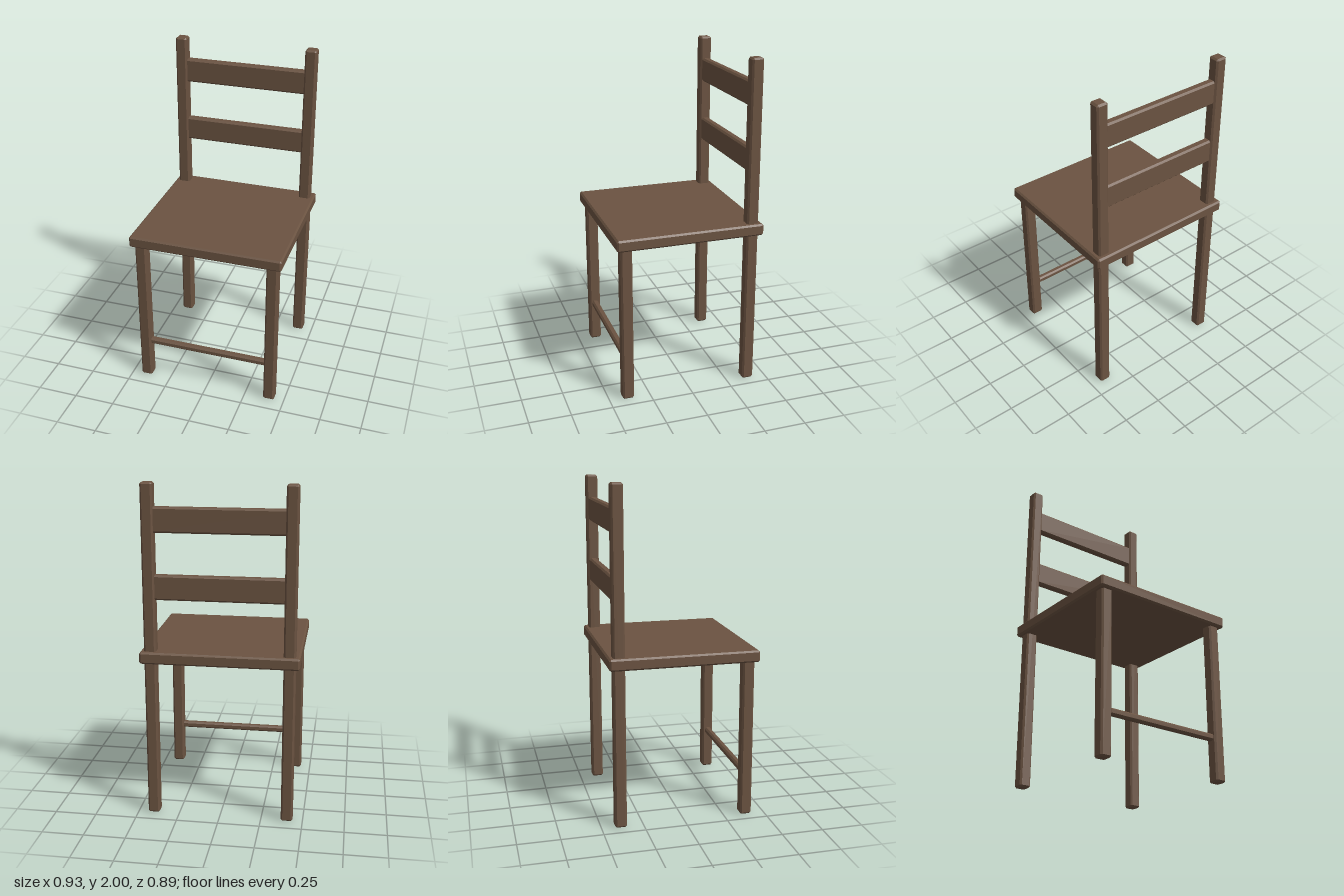
import * as THREE from 'three';
import { ConvexGeometry } from 'three/addons/geometries/ConvexGeometry.js';

const wood = new THREE.MeshStandardMaterial({ color: 0x6b5341 });

// Box between two corners with every edge chamfered by c
function bevelledBox(name, min, max, c = 0.01) {
  const half = max.map((v, i) => (v - min[i]) / 2);
  const points = [];
  for (const sx of [-1, 1]) for (const sy of [-1, 1]) for (const sz of [-1, 1]) {
    const sign = [sx, sy, sz];
    for (let face = 0; face < 3; face++) {
      points.push(new THREE.Vector3(...half.map((h, i) => sign[i] * (i === face ? h : h - c))));
    }
  }
  const mesh = new THREE.Mesh(new ConvexGeometry(points), wood);
  mesh.name = name;
  mesh.position.set(...max.map((v, i) => (v + min[i]) / 2));
  return mesh;
}

export function createModel() {
  const chair = new THREE.Group();
  chair.name = 'chair';

  // Seat board
  chair.add(bevelledBox('seat', [-0.465, 0.96, -0.445], [0.465, 1.03, 0.445]));

  // Legs: the back pair runs up to form the backrest posts
  for (const [side, x] of [['left', 0.405], ['right', -0.405]]) {
    const a = x - 0.035, b = x + 0.035;
    chair.add(bevelledBox(side + 'FrontLeg', [a, 0, 0.35], [b, 0.97, 0.42]));
    chair.add(bevelledBox(side + 'BackLegAndPost', [a, 0, -0.42], [b, 2, -0.35]));
  }

  // Backrest slats, their ends let into the posts
  for (const [name, y] of [['upperSlat', 1.72], ['lowerSlat', 1.335]]) {
    chair.add(bevelledBox(name, [-0.385, y, -0.41], [0.385, y + 0.145, -0.36]));
  }

  // Rail between the front legs
  chair.add(bevelledBox('frontRail', [-0.385, 0.24, 0.365], [0.385, 0.28, 0.405]));

  return chair;
}
